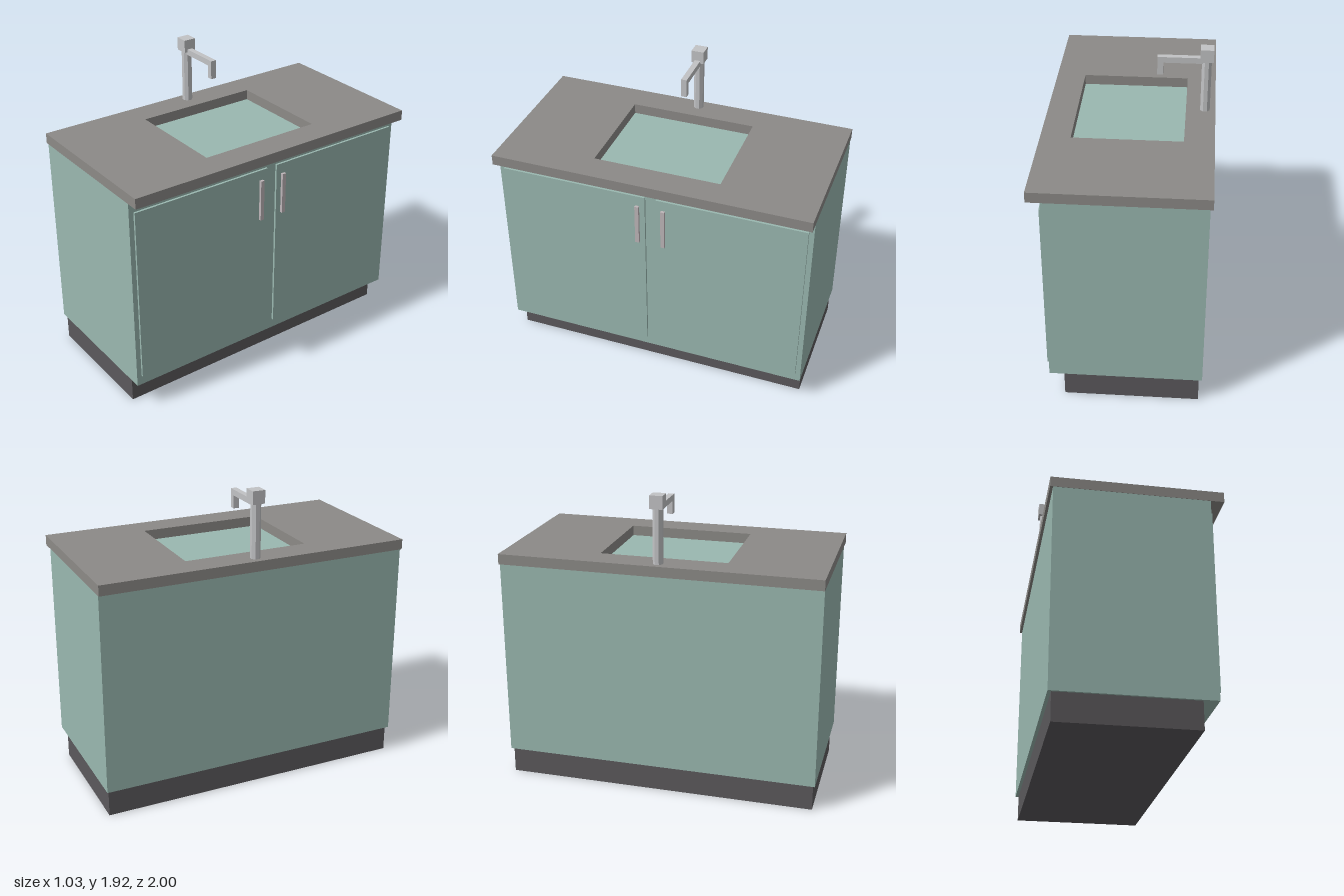
import * as THREE from 'three';

const mat = (name, color) => {
  const m = new THREE.MeshStandardMaterial({ color });
  m.name = name;
  return m;
};

export function createModel() {
  const teal = mat('tealPaint', 0x9ab8b0);
  const stone = mat('greyStone', 0x8c8a87);
  const dark = mat('darkPlinth', 0x5b595c);
  const steel = mat('steel', 0xc2c3c5);
  const pull = mat('handleMetal', 0xbeb6b9);

  const group = new THREE.Group();
  group.name = 'sinkCabinet';

  const add = (name, geometry, material) => {
    const mesh = new THREE.Mesh(geometry, material);
    mesh.name = name;
    group.add(mesh);
    return mesh;
  };
  // Box given by its extents on each axis
  const box = (name, material, [x0, x1], [y0, y1], [z0, z1]) =>
    add(name, new THREE.BoxGeometry(x1 - x0, y1 - y0, z1 - z0), material)
      .position.set((x0 + x1) / 2, (y0 + y1) / 2, (z0 + z1) / 2);

  // Plinth and cabinet body; the body's top is the floor of the sink opening
  box('plinth', dark, [-0.48, 0.345], [0, 0.17], [-0.985, 0.985]);
  box('cabinetBody', teal, [-0.5, 0.435], [0.17, 1.435], [-0.998, 0.998]);

  // Countertop with a rectangular sink opening
  const rect = (path, w, d) => path.moveTo(-w, -d).lineTo(w, -d).lineTo(w, d).lineTo(-w, d).closePath();
  const top = rect(new THREE.Shape(), 0.517, 1);
  top.holes.push(rect(new THREE.Path(), 0.335, 0.4));
  const slab = new THREE.ExtrudeGeometry(top, { depth: 0.065, bevelEnabled: false });
  slab.rotateX(-Math.PI / 2);
  add('countertop', slab, stone).position.y = 1.435;

  // Pair of doors with handles on the +x side
  for (const [side, s] of [['left', 1], ['right', -1]]) {
    const span = (a, b) => (s > 0 ? [a, b] : [-b, -a]);
    box(side + 'Door', teal, [0.435, 0.449], [0.235, 1.37], span(0.035, 0.967));
    box(side + 'Handle', pull, [0.449, 0.466], [1.035, 1.303], span(0.07, 0.095));
  }

  // Tap: faceted post, square head, arm and downturned spout
  const post = new THREE.CylinderGeometry(0.032, 0.032, 0.34, 8).rotateY(Math.PI / 8).toNonIndexed();
  post.computeVertexNormals();
  add('tapPost', post, steel).position.set(-0.452, 1.67, 0);
  box('tapHead', steel, [-0.493, -0.412], [1.838, 1.919], [-0.04, 0.04]);
  box('tapArm', steel, [-0.43, -0.154], [1.819, 1.856], [-0.018, 0.018]);
  box('tapSpout', steel, [-0.19, -0.154], [1.738, 1.819], [-0.018, 0.018]);

  return group;
}
